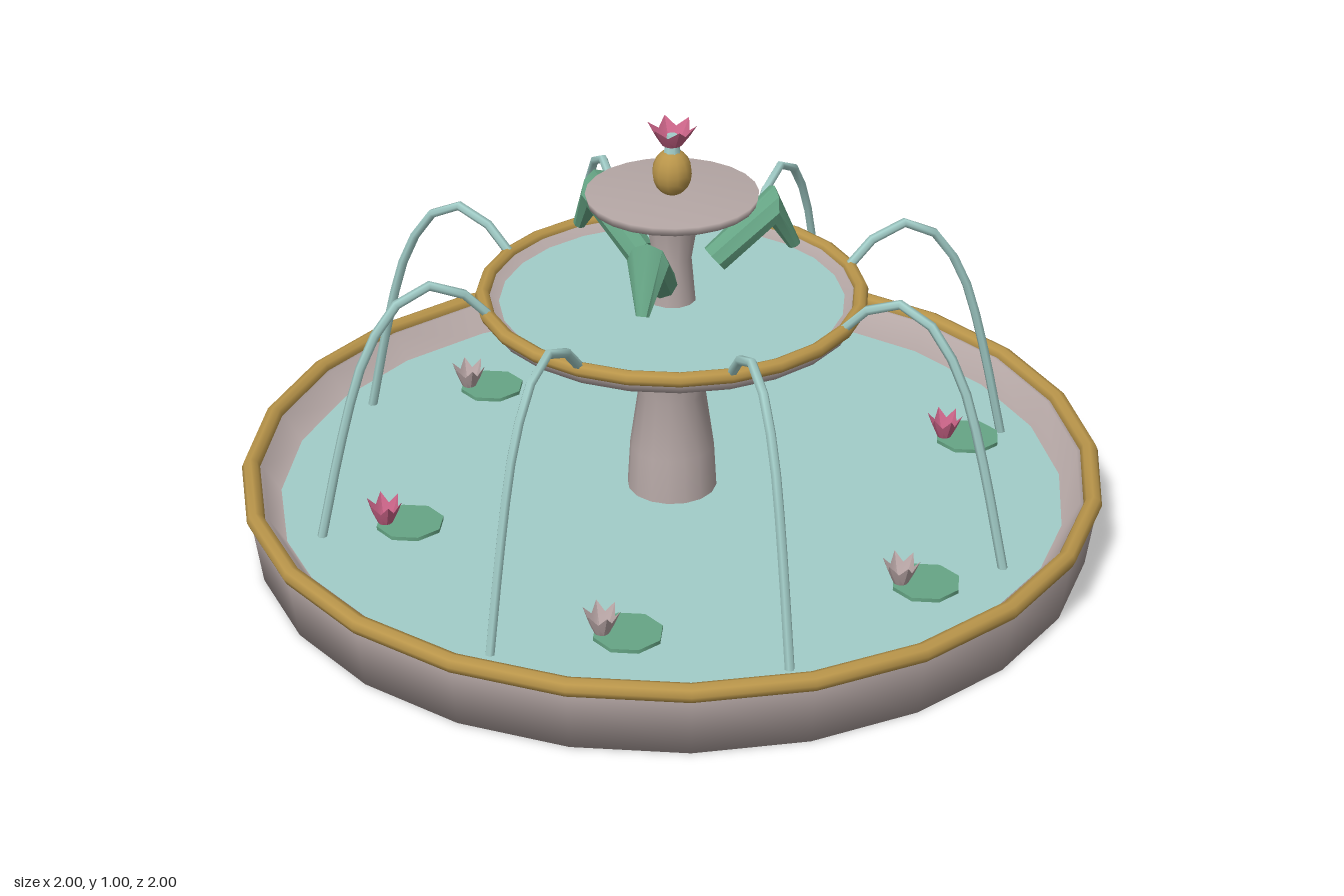
import * as THREE from 'three';
import { toCreasedNormals } from 'three/addons/utils/BufferGeometryUtils.js';

const mat = (name, color, side = THREE.FrontSide) => {
  const m = new THREE.MeshStandardMaterial({ color, side });
  m.name = name;
  return m;
};

const lathe = (points, sides = 24) =>
  new THREE.LatheGeometry(points.map(([r, y]) => new THREE.Vector2(r, y)), sides);

// Skin of round sections along a bent path in the xy plane: [x, y, radius, tilt of the path]
function loft(sections, sides) {
  const pos = [], index = [];
  for (const [x, y, r, tilt] of sections) {
    for (let j = 0; j < sides; j++) {
      const a = (j / sides) * Math.PI * 2, c = Math.cos(a) * r;
      pos.push(x - Math.sin(tilt) * c, y + Math.cos(tilt) * c, Math.sin(a) * r);
    }
  }
  for (let i = 0; i < sections.length - 1; i++) {
    for (let j = 0; j < sides; j++) {
      const a = i * sides + j, b = i * sides + ((j + 1) % sides);
      if (sections[i][2] > 0) index.push(a, b, a + sides);
      if (sections[i + 1][2] > 0) index.push(b, b + sides, a + sides);
    }
  }
  const g = new THREE.BufferGeometry();
  g.setAttribute('position', new THREE.Float32BufferAttribute(pos, 3));
  g.setIndex(index);
  return toCreasedNormals(g, 0.6);
}

// Open cup with six pointed petals
function petalCup(radius, height) {
  const g = lathe([[0, 0], [0.4, 0.02], [0.72, 0.5], [1, 1]], 12);
  const p = g.attributes.position;
  for (let i = 0; i < p.count; i++) {
    const x = p.getX(i), y = p.getY(i), z = p.getZ(i);
    const valley = 1 - Math.abs(Math.cos(3 * Math.atan2(x, z)));
    const s = radius * (1 - 0.28 * valley * y);
    p.setXYZ(i, x * s, y * height * (1 - 0.4 * valley * y), z * s);
  }
  return toCreasedNormals(g, 0.5);
}

export function createModel() {
  const model = new THREE.Group();
  model.name = 'fountain';
  const stone = mat('stone', 0xb5a7a5);
  const gold = mat('gold', 0xb9954a);
  const water = mat('water', 0xa2cdc8);
  const green = mat('green', 0x66a585);
  const pink = mat('pink petal', 0xcb6488, THREE.DoubleSide);
  const pale = mat('pale petal', 0xbba8a8, THREE.DoubleSide);

  const add = (name, geometry, material, x = 0, y = 0, z = 0, parent = model) => {
    const m = new THREE.Mesh(geometry, material);
    m.name = name;
    m.position.set(x, y, z);
    parent.add(m);
    return m;
  };
  const ring = (name, radius, tube, y) =>
    add(name, new THREE.TorusGeometry(radius, tube, 8, 24).rotateX(Math.PI / 2), gold, 0, y);
  const pool = (name, radius, y) =>
    add(name, new THREE.CircleGeometry(radius, 24).rotateX(-Math.PI / 2), water, 0, y);

  // Ground basin
  add('basin', lathe([[0, 0], [0.97, 0], [0.99, 0.15], [0.95, 0.155], [0.905, 0.08], [0, 0.08]]), stone);
  ring('basinRim', 0.979, 0.021, 0.155);
  pool('basinWater', 0.912, 0.092);

  // Lower pedestal and middle bowl
  add('pedestal', lathe([[0.105, 0.08], [0.098, 0.2], [0.078, 0.34], [0.115, 0.48]], 16), stone);
  add('middleBowl', lathe([[0, 0.475], [0.115, 0.475], [0.42, 0.55], [0.44, 0.585], [0.41, 0.59], [0.385, 0.565], [0, 0.565]]), stone);
  ring('middleRim', 0.43, 0.017, 0.588);
  pool('middleWater', 0.393, 0.573);

  // Upper pedestal and top bowl
  add('upperPedestal', lathe([[0.056, 0.56], [0.045, 0.68], [0.06, 0.77]], 12), stone);
  add('topBowl', lathe([[0, 0.755], [0.06, 0.758], [0.19, 0.815], [0.195, 0.835], [0, 0.835]]), stone);

  // Finial with a blossom and a small jet
  add('finial', new THREE.SphereGeometry(1, 12, 10).scale(0.045, 0.055, 0.045), gold, 0, 0.885);
  add('finialJet', new THREE.CylinderGeometry(0.012, 0.021, 0.05, 8), water, 0, 0.95);
  add('finialBlossom', petalCup(0.056, 0.05), pink, 0, 0.95);

  // Three bent spouts around the upper pedestal
  const spout = loft([
    [0.101, 0.657, 0, 0.7], [0.101, 0.657, 0.035, 0.7],
    [0.238, 0.772, 0.047, -0.1],
    [0.292, 0.667, 0.015, -1.15], [0.292, 0.667, 0, -1.15],
  ], 8);
  for (let i = 0; i < 3; i++) {
    add('spout', spout, green).rotation.y = (i * Math.PI * 2) / 3;
  }

  // Eight arching jets
  const arc = new THREE.CatmullRomCurve3(
    [[0.425, 0.59], [0.48, 0.65], [0.565, 0.684], [0.64, 0.645], [0.715, 0.525], [0.77, 0.35], [0.832, 0.09]]
      .map(([x, y]) => new THREE.Vector3(x, y, 0)));
  const jet = new THREE.TubeGeometry(arc, 10, 0.011, 6);
  for (let i = 0; i < 8; i++) add('waterJet', jet, water).rotation.y = (i * Math.PI) / 4;

  // Water lilies, each beside its leaf
  const leaf = new THREE.CylinderGeometry(0.078, 0.078, 0.009, 8);
  const blossom = petalCup(0.042, 0.058);
  for (let i = 0; i < 6; i++) {
    const a = (i * Math.PI) / 3;
    const lily = new THREE.Group();
    lily.name = 'waterLily';
    lily.position.set(Math.cos(a) * 0.685, 0.098, Math.sin(a) * 0.685);
    add('leaf', leaf, green, 0.055, 0, 0.012, lily);
    add('blossom', blossom, i % 3 === 0 ? pink : pale, 0, 0.005, 0, lily);
    model.add(lily);
  }
  return model;
}
